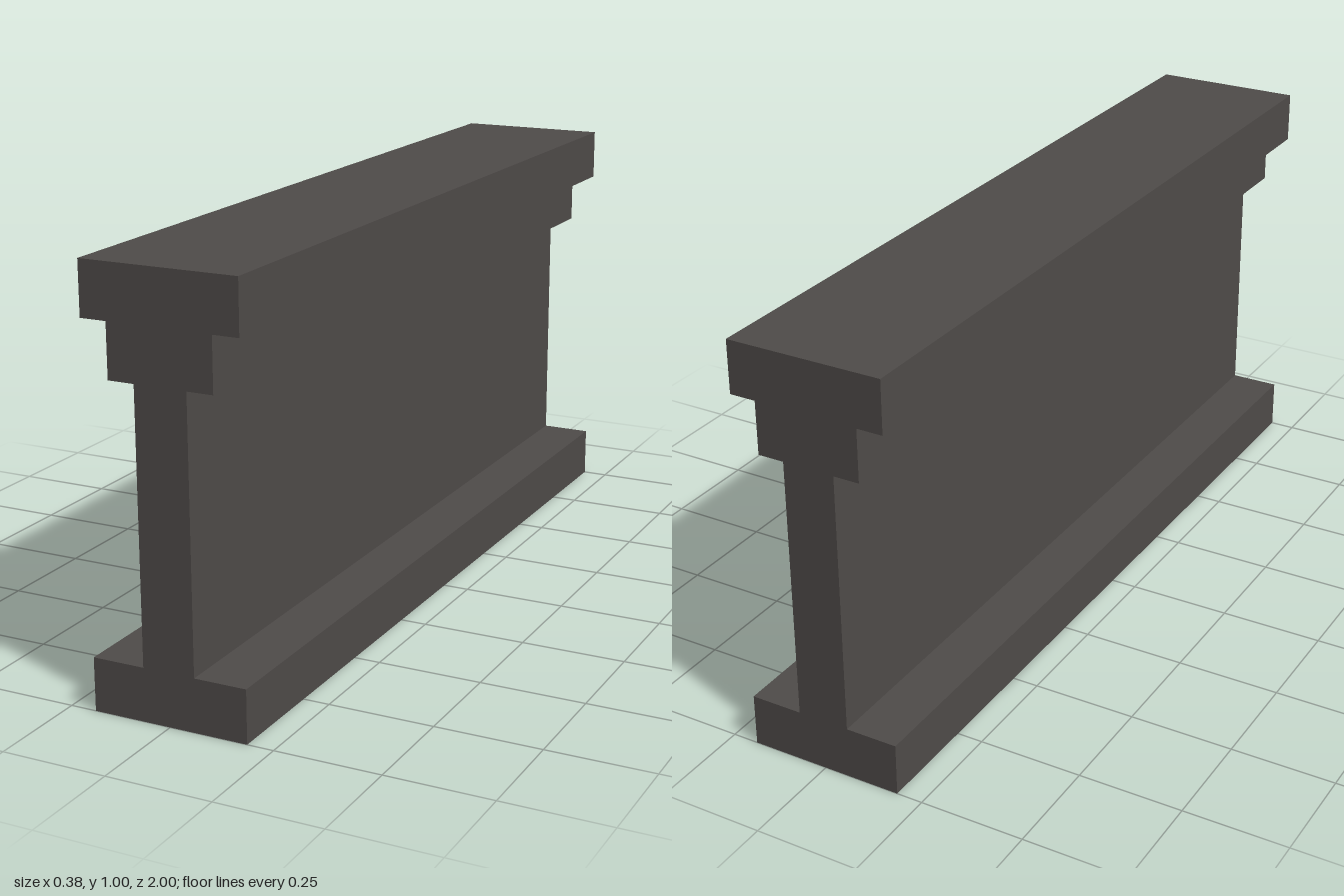
import * as THREE from 'three';

export function createModel() {
  const group = new THREE.Group();
  group.name = 'beam';

  const darkGrey = new THREE.MeshStandardMaterial({ color: 0x4f4b49 });
  darkGrey.name = 'darkGrey';

  // Right half of the cross-section, bottom to top: foot, web, stepped head
  const half = [
    [0.1875, 0], [0.1875, 0.125],
    [0.0625, 0.125], [0.0625, 0.75],
    [0.125, 0.75], [0.125, 0.875],
    [0.1875, 0.875], [0.1875, 1],
  ];
  const mirrored = half.map(([x, y]) => [-x, y]).reverse();
  const outline = [...half, ...mirrored].map(([x, y]) => new THREE.Vector2(x, y));

  // Full-length beam, extruded along z
  const length = 2;
  const geometry = new THREE.ExtrudeGeometry(new THREE.Shape(outline), {
    depth: length,
    bevelEnabled: false,
  });
  geometry.translate(0, 0, -length / 2);

  const beam = new THREE.Mesh(geometry, darkGrey);
  beam.name = 'beamProfile';
  group.add(beam);

  return group;
}
